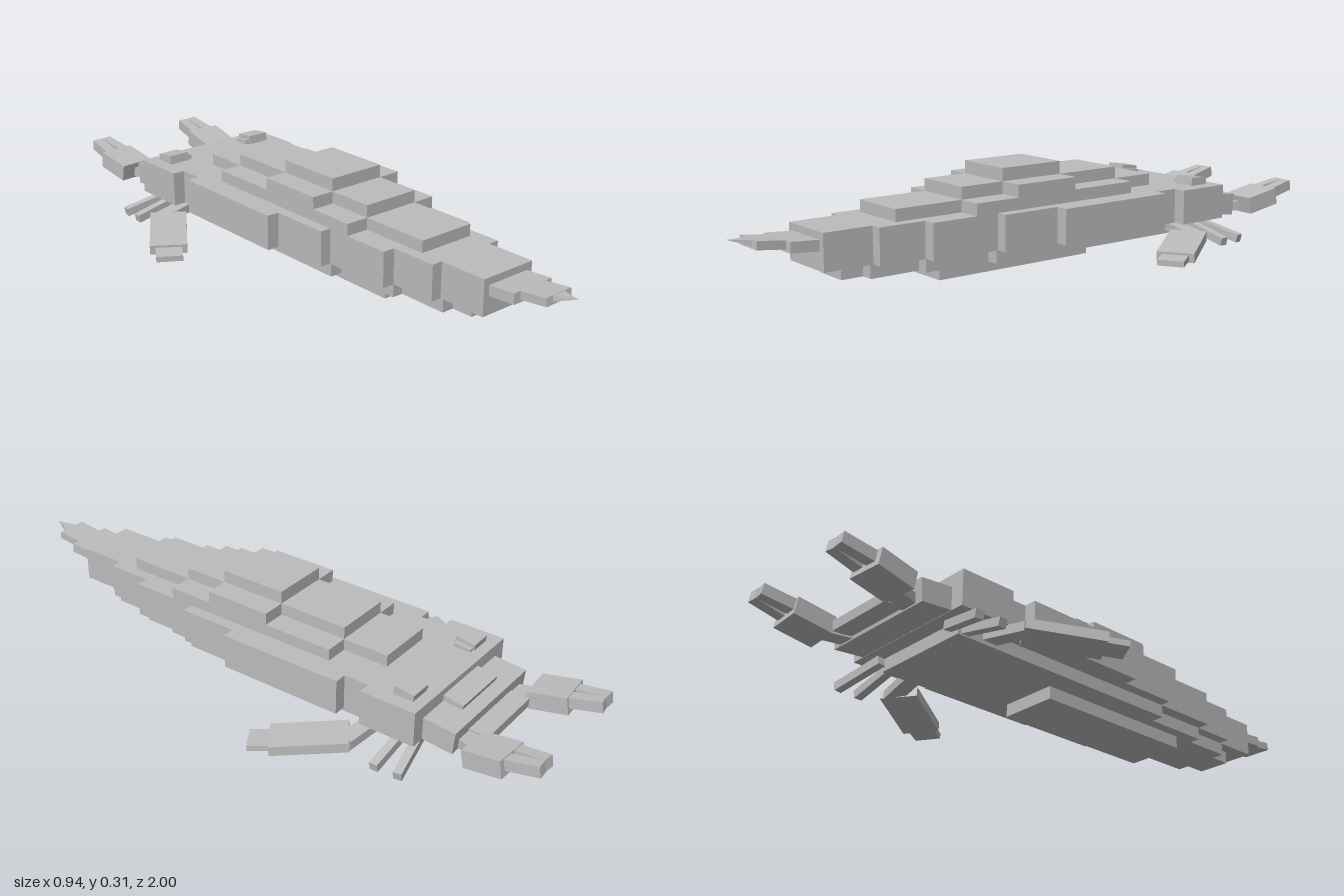
import * as THREE from 'three';

export function createModel() {
  const model = new THREE.Group();
  const shell = new THREE.MeshStandardMaterial({ color: 0xbcbcbc });
  shell.name = 'grey shell';

  // Box centred on x, given half width, bottom, top, back and front
  const slab = (name, half, y0, y1, z0, z1) => {
    const m = new THREE.Mesh(new THREE.BoxGeometry(half * 2, y1 - y0, z1 - z0), shell);
    m.name = name;
    m.position.set(0, (y0 + y1) / 2, (z0 + z1) / 2);
    model.add(m);
  };

  // Box running from point a to point b
  const beam = (parent, name, a, b, w, h) => {
    const p = new THREE.Vector3(...a), q = new THREE.Vector3(...b);
    const m = new THREE.Mesh(new THREE.BoxGeometry(w, h, p.distanceTo(q)), shell);
    m.name = name;
    m.position.copy(p).add(q).multiplyScalar(0.5);
    m.lookAt(q);
    parent.add(m);
    return m;
  };

  // Main body: stepped outline, each narrower slab reaching further back
  [
    [0.245, -0.37, 0.04], [0.205, -0.45, 0.235], [0.17, -0.45, 0.46],
    [0.13, -0.45, 0.61], [0.095, -0.45, 0.765],
  ].forEach(([half, z0, z1]) => slab('bodySegment', half, 0.08, 0.19, z0, z1));

  // Lower body and belly
  [[0.17, 0.24, 0.08], [0.13, 0.46, 0.09], [0.095, 0.62, 0.11], [0.055, 0.69, 0.11]]
    .forEach(([half, z1, top]) => slab('lowerBody', half, 0.04, top, -0.58, z1));
  slab('belly', 0.095, 0, 0.04, -0.17, 0.39);

  // Stepped back plates
  slab('backPlateLow', 0.095, 0.19, 0.227, -0.44, 0.535);
  slab('backPlateLowWide', 0.17, 0.19, 0.227, -0.29, 0.31);
  slab('backPlateMiddle', 0.095, 0.227, 0.265, -0.29, 0.31);
  slab('backPlateMiddleWide', 0.17, 0.227, 0.265, -0.06, 0.16);
  slab('backPlateTop', 0.095, 0.265, 0.305, -0.06, 0.16);

  // Head
  slab('head', 0.245, 0.08, 0.19, -0.63, -0.45);
  beam(model, 'snout', [0, 0.118, -0.61], [0, 0.107, -0.73], 0.4, 0.07);
  beam(model, 'browPlate', [0, 0.15, -0.62], [0, 0.137, -0.69], 0.19, 0.045);
  beam(model, 'lip', [0, 0.1, -0.7], [0, 0.095, -0.79], 0.24, 0.03);

  // Upturned tail and spike
  beam(model, 'tailSegment', [0, 0.15, 0.74], [0, 0.158, 0.852], 0.15, 0.032);
  beam(model, 'tailSegment', [0, 0.159, 0.83], [0, 0.171, 0.937], 0.1, 0.025);
  const spikeShape = new THREE.ConeGeometry(0.0354, 0.068, 4).toNonIndexed();
  spikeShape.rotateY(Math.PI / 4);
  spikeShape.rotateX(Math.PI / 2);
  spikeShape.scale(1, 0.35, 1);
  spikeShape.computeVertexNormals();
  const spike = new THREE.Mesh(spikeShape, shell);
  spike.name = 'tailSpike';
  spike.position.set(0, 0.18, 0.966);
  spike.rotation.x = -0.2;
  model.add(spike);

  // Paired parts on both sides
  for (const s of [1, -1]) {
    const side = new THREE.Group();
    side.name = s > 0 ? 'leftLimbs' : 'rightLimbs';
    model.add(side);
    const limb = (name, a, b, w, h) =>
      beam(side, name, [a[0] * s, a[1], a[2]], [b[0] * s, b[1], b[2]], w, h);

    // Eyes
    limb('eye', [0.165, 0.198, -0.53], [0.165, 0.19, -0.595], 0.07, 0.04);
    limb('eyeRidge', [0.13, 0.19, -0.535], [0.13, 0.184, -0.59], 0.03, 0.03);

    // Claws
    limb('clawArm', [0.13, 0.09, -0.69], [0.165, 0.095, -0.8], 0.055, 0.03);
    limb('clawPalm', [0.178, 0.1, -0.78], [0.186, 0.122, -0.9], 0.115, 0.055);
    limb('clawFinger', [0.208, 0.127, -0.89], [0.202, 0.146, -0.995], 0.035, 0.035);
    limb('clawFinger', [0.155, 0.127, -0.89], [0.168, 0.146, -0.995], 0.035, 0.035);

    // Walking legs
    limb('leg', [0.15, 0.062, -0.6], [0.32, 0.024, -0.63], 0.026, 0.026);
    limb('leg', [0.15, 0.062, -0.555], [0.325, 0.024, -0.555], 0.026, 0.026);

    // Swimming paddles
    limb('paddleArm', [0.15, 0.068, -0.47], [0.31, 0.05, -0.445], 0.05, 0.028);
    limb('paddle', [0.277, 0.053, -0.442], [0.405, 0.031, -0.255], 0.115, 0.03);
    limb('paddleTip', [0.395, 0.031, -0.27], [0.436, 0.025, -0.203], 0.082, 0.018);
  }
  return model;
}
